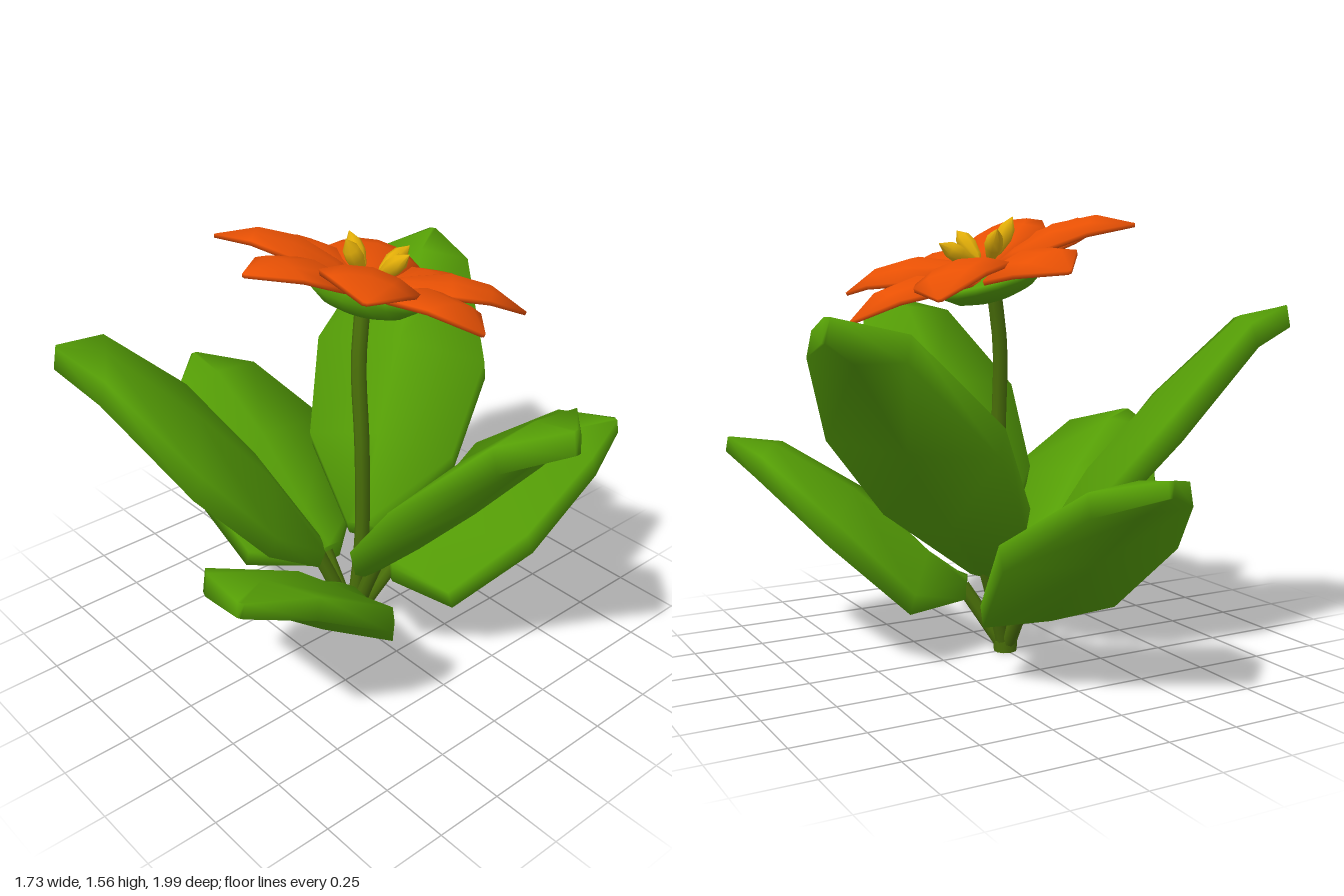
import * as THREE from 'three';
import { toCreasedNormals } from 'three/addons/utils/BufferGeometryUtils.js';

const mat = (name, color) => {
  const m = new THREE.MeshStandardMaterial({ color });
  m.name = name;
  return m;
};

// Blade running along +z; each row is [z, y, halfWidth, rimThickness, upperBulge].
// columns is a list of [x, bulge] across the width. Bulges are relative to the
// half width; lean tips the section off the vertical.
function bladeGeometry(rows, columns, down, lean) {
  const n = columns.length * 2;
  const pos = [], idx = [];
  rows.forEach(([z, y, w, t, up], k) => {
    const a = rows[Math.max(0, k - 1)], b = rows[Math.min(rows.length - 1, k + 1)];
    const nz = -lean * (b[1] - a[1]) / Math.hypot(b[0] - a[0], b[1] - a[1]);
    const add = (x, h) => pos.push(x * w, y + h, z + nz * h);
    columns.forEach(([x, f]) => add(x, t / 2 + up * w * f));
    columns.forEach(([x, f]) => add(-x, -t / 2 - down * w * f));
  });
  for (let k = 0; k < rows.length - 1; k++) {
    for (let i = 0; i < n; i++) {
      const a = k * n + i, b = k * n + (i + 1) % n;
      idx.push(a, b, b + n, a, b + n, a + n);
    }
  }
  const e = (rows.length - 1) * n;
  for (let i = 1; i < n - 1; i++) idx.push(0, i + 1, i, e, e + i, e + i + 1);
  const g = new THREE.BufferGeometry();
  g.setAttribute('position', new THREE.Float32BufferAttribute(pos, 3));
  g.setIndex(idx);
  return toCreasedNormals(g, 2.2);
}

const ridged = [[1, 0], [0, 1], [-1, 0]];
const rounded = [[1, 0], [0.55, 0.7], [0, 1], [-0.55, 0.7], [-1, 0]];

const tube = (points, radius, segments) => new THREE.TubeGeometry(
  new THREE.CatmullRomCurve3(points.map(p => new THREE.Vector3(...p))), segments, radius, 8);

const lathe = (points, sides) =>
  new THREE.LatheGeometry(points.map(p => new THREE.Vector2(...p)), sides);

export function createModel() {
  const model = new THREE.Group();
  const leafGreen = mat('leaf green', 0x559e06);
  const stemGreen = mat('stem green', 0x4a7009);
  const orange = mat('petal orange', 0xe95104);
  const yellow = mat('stamen yellow', 0xe2ae08);

  const add = (parent, name, geo, material) => {
    const m = new THREE.Mesh(geo, material);
    m.name = name;
    parent.add(m);
    return m;
  };

  // Leaves: three tall, three short, alternating around the base, each on a stalk
  const tall = bladeGeometry([
    [0.125, 0.335, 0.06, 0.06, 0.1], [0.33, 0.57, 0.285, 0.075, 0.22],
    [0.57, 0.86, 0.335, 0.085, 0.14], [0.84, 1.155, 0.185, 0.08, 0.1], [0.985, 1.21, 0.012, 0.075, 0],
  ], ridged, 0.07, 0.5);
  const short = bladeGeometry([
    [0.14, 0.235, 0.055, 0.065, 0.1], [0.31, 0.24, 0.26, 0.07, 0.36],
    [0.57, 0.5, 0.33, 0.08, 0.16], [0.84, 0.70, 0.185, 0.075, 0.1], [0.99, 0.755, 0.012, 0.05, 0],
  ], ridged, 0.05, 0.5);
  const tallStalk = tube([[0, 0.02, 0.01], [0, 0.16, 0.06], [0, 0.34, 0.135]], 0.026, 6);
  const shortStalk = tube([[0, 0.02, 0.01], [0, 0.12, 0.075], [0, 0.24, 0.155]], 0.026, 6);
  for (let i = 0; i < 6; i++) {
    const leaf = new THREE.Group();
    leaf.name = i % 2 ? 'shortLeaf' : 'tallLeaf';
    leaf.rotation.y = i * Math.PI / 3;
    add(leaf, 'blade', i % 2 ? short : tall, leafGreen);
    add(leaf, 'stalk', i % 2 ? shortStalk : tallStalk, stemGreen);
    model.add(leaf);
  }

  // Stem and root collar
  add(model, 'stem', tube([
    [0, 0.01, 0], [0.01, 0.4, 0.04], [0, 0.8, 0.05], [0.01, 1.1, 0.02], [0.045, 1.3, 0],
  ], 0.027, 16), stemGreen);
  add(model, 'rootCollar', new THREE.CylinderGeometry(0.045, 0.042, 0.04, 10), stemGreen)
    .position.y = 0.02;

  // Flower head, tilted towards +x
  const flower = new THREE.Group();
  flower.name = 'flower';
  flower.position.set(0.065, 1.358, 0);
  flower.rotation.z = -0.317;
  model.add(flower);

  add(flower, 'cup', lathe(
    [[0, -0.09], [0.08, -0.087], [0.14, -0.07], [0.195, -0.03], [0.17, -0.01], [0, 0]], 16), leafGreen);

  // Petals: four low ones on the axes, four raised ones between them
  const petal = bladeGeometry([
    [0.01, 0.01, 0.02, 0.012, 0.1], [0.12, 0.035, 0.085, 0.015, 0.28], [0.27, 0.06, 0.165, 0.015, 0.28],
    [0.40, 0.07, 0.125, 0.015, 0.24], [0.535, 0.045, 0.006, 0.012, 0],
  ], rounded, -0.2, 1);
  for (let i = 0; i < 8; i++) {
    const p = add(flower, i % 2 ? 'upperPetal' : 'lowerPetal', petal, orange);
    p.rotation.y = i * Math.PI / 4;
    if (i % 2 === 0) p.position.y = -0.035;
  }

  // Stamens: thin filament with a pointed anther
  const filament = new THREE.CylinderGeometry(0.008, 0.008, 0.11, 6).translate(0, 0.055, 0);
  const anther = lathe(
    [[0, -0.085], [0.019, -0.055], [0.032, -0.005], [0.028, 0.035], [0, 0.08]], 8)
    .translate(0, 0.13, 0);
  for (let i = 0; i < 4; i++) {
    const stamen = new THREE.Group();
    stamen.name = 'stamen';
    stamen.rotation.set(0.8, i * Math.PI / 2, 0, 'YXZ');
    stamen.position.y = 0.01;
    add(stamen, 'filament', filament, yellow);
    add(stamen, 'anther', anther, yellow);
    flower.add(stamen);
  }
  return model;
}
